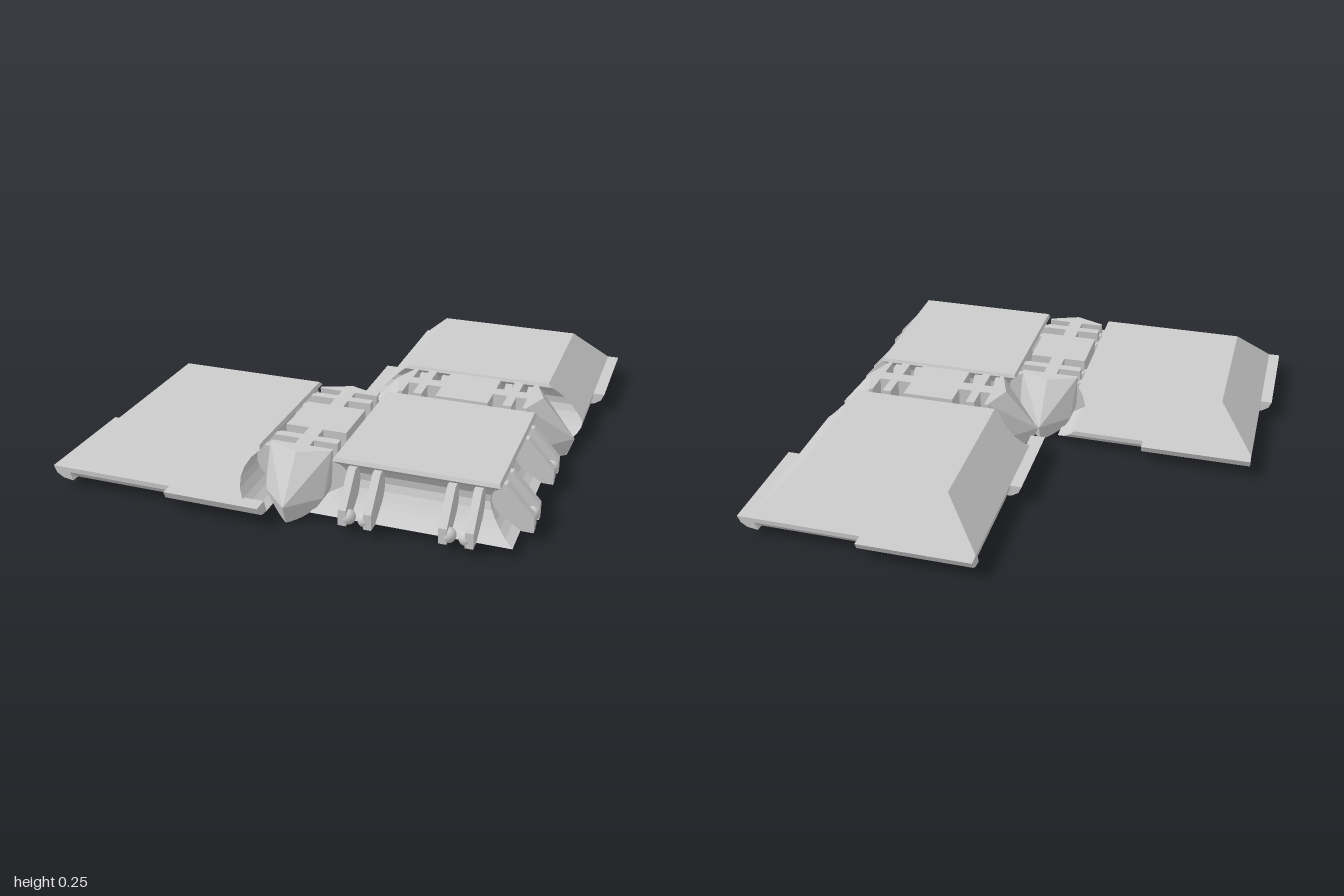
import * as THREE from 'three';
import { ConvexGeometry } from 'three/addons/geometries/ConvexGeometry.js';

const material = new THREE.MeshStandardMaterial({ color: 0xcccccc });

function add(parent, name, geometry) {
  const mesh = new THREE.Mesh(geometry, material);
  mesh.name = name;
  parent.add(mesh);
  return mesh;
}

// Stack of rectangles [y, xMin, xMax, zHalf], bottom to top, with flat faces
function loft(levels) {
  const loops = levels.map(([y, x0, x1, z]) => [[x1, y, z], [x1, y, -z], [x0, y, -z], [x0, y, z]]);
  const pos = [];
  const quad = (a, b, c, d) => pos.push(...a, ...b, ...c, ...a, ...c, ...d);
  for (let k = 0; k < loops.length - 1; k++) {
    const a = loops[k], b = loops[k + 1];
    for (let i = 0; i < 4; i++) quad(a[i], a[(i + 1) % 4], b[(i + 1) % 4], b[i]);
  }
  quad(...loops[loops.length - 1]);
  quad(...[...loops[0]].reverse());
  const g = new THREE.BufferGeometry();
  g.setAttribute('position', new THREE.Float32BufferAttribute(pos, 3));
  g.computeVertexNormals();
  return g;
}

function extrude(points, depth) {
  const shape = new THREE.Shape(points.map(([x, y]) => new THREE.Vector2(x, y)));
  return new THREE.ExtrudeGeometry(shape, { depth, bevelEnabled: false });
}

// Concave hinge-side edge: distance from the tile centre at each height
const hingeEdge = [
  [0.035, 0.395], [0.05, 0.36], [0.07, 0.332], [0.09, 0.312], [0.12, 0.29],
  [0.15, 0.28], [0.18, 0.283], [0.21, 0.3], [0.235, 0.327], [0.25, 0.32],
];
// Outer edge: small rounded foot, then a straight bevel to the top
function outerEdge(y) {
  if (y < 0.045) return 0.44;
  if (y < 0.06) return 0.462;
  if (y < 0.09) return 0.475;
  return THREE.MathUtils.mapLinear(y, 0.09, 0.25, 0.475, 0.318);
}

const fingerOffsets = [-0.245, -0.145, 0.145, 0.245];
const fingerProfile = [
  [0.27, 0.12], [0.4, 0.035], [0.445, 0.035], [0.445, 0.1], [0.335, 0.22], [0.29, 0.22],
];

// Four snap fingers with balls, on the side turned by angle
function fingerRow(angle) {
  const row = new THREE.Group();
  row.name = 'snapFingers';
  for (const z of fingerOffsets) {
    add(row, 'finger', extrude(fingerProfile, 0.032)).position.z = z - 0.016;
    const inward = Math.abs(z) > 0.2 ? -Math.sign(z) : Math.sign(z);
    add(row, 'snapBall', new THREE.SphereGeometry(0.03, 16, 12))
      .position.set(0.418, 0.062, z + inward * 0.016);
  }
  row.rotation.y = angle;
  return row;
}

const tabProfile = [[0.44, 0.035], [0.485, 0.042], [0.512, 0.06], [0.525, 0.09], [0.46, 0.09]];

// Bevelled tile with its hinge side on +x and three half-length edge tabs
function outerTile() {
  const tile = new THREE.Group();
  tile.name = 'outerTile';
  add(tile, 'tileBody', loft(hingeEdge.map(([y, h]) => [y, -outerEdge(y), h, outerEdge(y)])));
  for (const [angle, length] of [[Math.PI, 0.475], [-Math.PI / 2, 0.395], [Math.PI / 2, 0.475]]) {
    const tab = extrude(tabProfile, length);
    tab.translate(0, 0, -length);
    add(tile, 'edgeTab', tab).rotation.y = angle;
  }
  tile.add(fingerRow(0));
  return tile;
}

// Middle tile, undercut and carrying fingers on all four sides
function middleTile() {
  const tile = new THREE.Group();
  tile.name = 'middleTile';
  add(tile, 'tileBody', loft(hingeEdge.map(([y, h]) => [y, -h, h, h])));
  for (let i = 0; i < 4; i++) tile.add(fingerRow(i * Math.PI / 2));
  return tile;
}

// Hinge bar section: flat top, round bottom, clipped to a half width
function barSection(halfWidth) {
  const points = [[0, 0.25]];
  for (const s of [-1, 1]) {
    points.push([s * halfWidth, 0.25]);
    for (let i = 0; i <= 12; i++) {
      const a = (i / 12) * Math.PI / 2;
      const x = 0.128 * Math.cos(a);
      if (x <= halfWidth) points.push([s * x, 0.13 - 0.13 * Math.sin(a)]);
    }
  }
  if (halfWidth < 0.1) points.push([-halfWidth, 0.005], [halfWidth, 0.005]);
  return points;
}

function prism(section, z0, z1) {
  const at = (z, x, y) => (typeof z === 'function' ? z(x, y) : z);
  const points = section.flatMap(([x, y]) => [
    new THREE.Vector3(x, y, at(z0, x, y)), new THREE.Vector3(x, y, at(z1, x, y))]);
  return new ConvexGeometry(points);
}

// Pointed end: roof-like wedge, longest near the bottom
function barEnd(x, y) {
  const top = 0.325 - 0.5 * Math.abs(x);
  const tip = 0.47 - Math.abs(x);
  if (y < 0.08) return tip - (0.08 - y) * 0.35;
  return THREE.MathUtils.mapLinear(y, 0.08, 0.25, tip, top);
}

function hingeBar() {
  const bar = new THREE.Group();
  bar.name = 'hingeBar';
  const full = barSection(0.128);
  full.push([0, 0.08]);
  const slot = 0.031;
  add(bar, 'barCore', prism(barSection(0.03), -0.28, 0.28));
  // solid blocks between the finger slots
  for (const [a, b] of [[-0.245, -0.145], [-0.145, 0.145], [0.145, 0.245]]) {
    add(bar, 'barBlock', prism(full, a + slot, b - slot));
  }
  for (const s of [-1, 1]) {
    add(bar, 'barPoint', prism(full, s * (0.245 + slot), (x, y) => s * barEnd(x, y)));
  }
  return bar;
}

export function createModel() {
  const model = new THREE.Group();
  model.name = 'foldingTiles';
  const c = 0.475;
  const place = (part, x, z, angle = 0) => {
    part.position.set(x, 0, z);
    part.rotation.y = angle;
    model.add(part);
  };
  place(middleTile(), c, c);
  place(outerTile(), -c, c);
  place(outerTile(), c, -c, -Math.PI / 2);
  place(hingeBar(), 0, c);
  place(hingeBar(), c, 0, -Math.PI / 2);
  return model;
}
